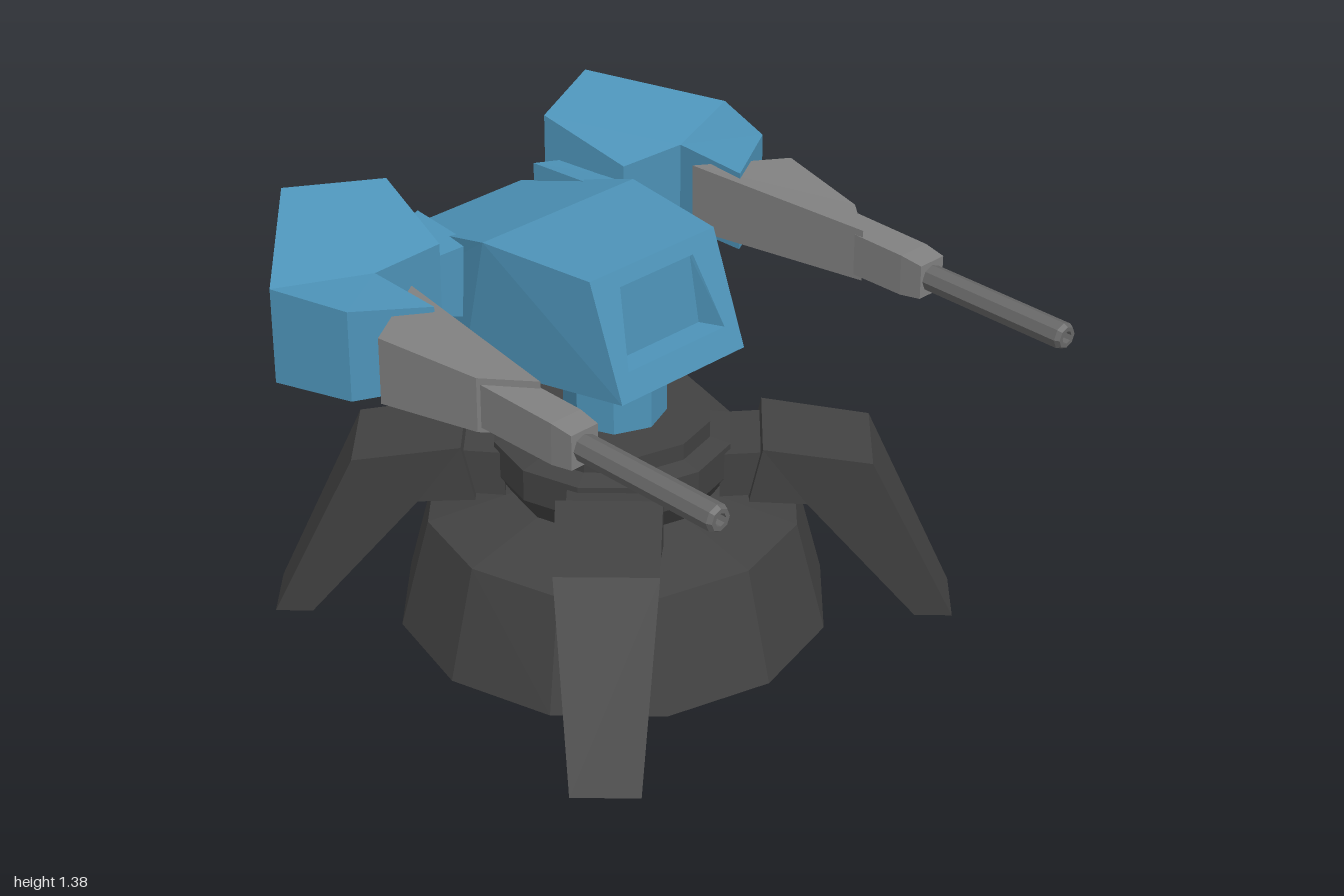
import * as THREE from 'three';

const mat = (name, color) => {
  const m = new THREE.MeshStandardMaterial({ color });
  m.name = name;
  return m;
};

// Flat-faced geometry from a list of triangles (each three [x, y, z] corners)
function fromTriangles(tris) {
  const g = new THREE.BufferGeometry();
  g.setAttribute('position', new THREE.Float32BufferAttribute(tris.flat(2), 3));
  g.computeVertexNormals();
  return g;
}

const quad = (a, b, c, d) => [[a, b, c], [a, c, d]];

// Solid between two matching rings; caps fan out from point 0, skipped sides stay open
function bridge(ringA, ringB, skip = -1) {
  const n = ringA.length;
  let tris = [];
  for (let i = 0; i < n; i++) {
    const j = (i + 1) % n;
    if (i !== skip) tris.push(...quad(ringA[i], ringA[j], ringB[j], ringB[i]));
    if (i > 0 && i < n - 1) {
      tris.push([ringA[0], ringA[j], ringA[i]], [ringB[0], ringB[i], ringB[j]]);
    }
  }
  // Turn every face outward by the sign of the enclosed volume
  const mid = new THREE.Vector3();
  [...ringA, ...ringB].forEach((p) => mid.add(new THREE.Vector3(...p)));
  mid.divideScalar(2 * n);
  let volume = 0;
  for (const t of tris) {
    const [a, b, c] = t.map((p) => new THREE.Vector3(...p).sub(mid));
    volume += a.dot(b.cross(c));
  }
  if (volume < 0) tris = tris.map(([a, b, c]) => [a, c, b]);
  return tris;
}

// Side profile of [z, y, halfWidth] points, widened symmetrically in x
const profileSolid = (pts, skip) => bridge(
  pts.map(([z, y, w]) => [w, y, z]), pts.map(([z, y, w]) => [-w, y, z]), skip);

// Plan of [x, z, bottom, top] corners
const planSolid = (pts, side) => bridge(
  pts.map(([x, z, b]) => [side * x, b, z]), pts.map(([x, z, , t]) => [side * x, t, z]));

function facetedLathe(pts, sides) {
  const g = new THREE.LatheGeometry(pts.map(([r, y]) => new THREE.Vector2(r, y)), sides).toNonIndexed();
  g.computeVertexNormals();
  return g;
}

export function createModel() {
  const model = new THREE.Group();
  model.name = 'turret';
  const blue = mat('blue armour', 0x4d93b8);
  const dark = mat('dark base metal', 0x424242);
  const grey = mat('gun grey', 0x808080);
  const steel = mat('barrel grey', 0x686868);

  const add = (parent, name, geometry, material) => {
    const mesh = new THREE.Mesh(geometry, material);
    mesh.name = name;
    parent.add(mesh);
    return mesh;
  };

  // Base and legs share one axis behind the origin
  const stand = new THREE.Group();
  stand.name = 'stand';
  stand.position.z = -0.17;
  model.add(stand);

  add(stand, 'base', facetedLathe([
    [0, 0], [0.685, 0], [0.59, 0.365], [0.32, 0.43], [0.375, 0.515],
    [0.375, 0.62], [0.31, 0.635], [0.31, 0.69], [0, 0.69],
  ], 12), dark);

  // Bent legs on the diagonals, each with a narrower root
  const legProfile = [
    [0.6, 0.43, 0.14], [0.42, 0.45, 0.16], [0.46, 0.635, 0.16],
    [0.797, 0.585, 0.155], [1.068, 0, 0.105], [0.95, 0, 0.105],
  ];
  const rootProfile = [[0.33, 0.45, 0.13], [0.33, 0.6, 0.13], [0.48, 0.61, 0.13], [0.48, 0.46, 0.13]];
  for (let i = 0; i < 4; i++) {
    const leg = new THREE.Group();
    leg.name = 'leg';
    leg.rotation.y = Math.PI / 4 + i * Math.PI / 2;
    add(leg, 'legLimb', fromTriangles(profileSolid(legProfile)), dark);
    add(leg, 'legRoot', fromTriangles(profileSolid(rootProfile)), dark);
    stand.add(leg);
  }

  const neck = add(model, 'neck', facetedLathe([[0.16, 0.69], [0.16, 0.95]], 8), blue);
  neck.position.z = -0.16;

  // Head: wedge body with an open front filled by a frame and recessed window
  const headShell = profileSolid([
    [-0.4, 1.283, 0.31], [-0.84, 1.15, 0.24], [-0.84, 0.96, 0.24],
    [-0.5, 0.835, 0.31], [0.14, 0.925, 0.255], [0.005, 1.283, 0.255],
  ], 4);
  const row = (w, y, z) => [[-w, y, z], [w, y, z]];
  const loop = (bottom, top) => [bottom[0], bottom[1], top[1], top[0]];
  const outer = loop(row(0.255, 0.925, 0.14), row(0.255, 1.283, 0.005));
  const rim = loop(row(0.2, 1.005, 0.11), row(0.15, 1.235, 0.023));
  const inner = loop(row(0.165, 1.005, 0.035), row(0.145, 1.23, 0.015));
  const face = quad(...inner);
  for (let i = 0; i < 4; i++) {
    const j = (i + 1) % 4;
    face.push(...quad(outer[i], outer[j], rim[j], rim[i]), ...quad(rim[i], rim[j], inner[j], inner[i]));
  }
  add(model, 'head', fromTriangles(headShell), blue);
  add(model, 'headFront', fromTriangles(face), blue);

  // Arms, each with a shoulder, armoured pod and gun
  for (const side of [1, -1]) {
    const arm = new THREE.Group();
    arm.name = side > 0 ? 'leftArm' : 'rightArm';
    model.add(arm);

    add(arm, 'shoulder', fromTriangles(planSolid([
      [0.24, -0.78, 1.0, 1.23], [0.42, -0.75, 1.05, 1.2],
      [0.42, -0.55, 1.02, 1.2], [0.27, -0.5, 0.98, 1.23],
    ], side)), blue);

    add(arm, 'pod', fromTriangles(planSolid([
      [0.63, -0.515, 0.975, 1.255], [0.63, -0.25, 0.98, 1.245], [0.855, -0.37, 0.97, 1.265],
      [0.937, -0.62, 0.965, 1.275], [0.625, -0.95, 1.08, 1.378],
      [0.325, -0.82, 1.07, 1.355], [0.38, -0.515, 1.0, 1.262],
    ], side)), blue);

    add(arm, 'gunBody', fromTriangles(planSolid([
      [0.58, -0.41, 1.01, 1.235], [0.85, -0.24, 1.015, 1.23],
      [0.78, 0.1, 1.035, 1.21], [0.665, 0.24, 1.04, 1.21],
    ], side)), grey);

    const gun = new THREE.Group();
    gun.name = 'gun';
    gun.position.set(side * 0.717, 1.12, 0);
    arm.add(gun);

    // Tapered collar between the gun body and barrel
    const section = (w, h, z) => [[-w, -h, z], [w, -h, z], [w, h, z], [-w, h, z]];
    add(gun, 'gunCollarRear', fromTriangles(
      bridge(section(0.056, 0.07, 0.05), section(0.056, 0.066, 0.4))), grey);
    add(gun, 'gunCollarFront', fromTriangles(
      bridge(section(0.056, 0.066, 0.4), section(0.05, 0.055, 0.475))), grey);

    const barrel = add(gun, 'barrel', facetedLathe([
      [0.042, 0], [0.042, 0.535], [0.034, 0.55], [0.02, 0.55], [0.02, 0.45], [0, 0.45],
    ], 8), steel);
    barrel.rotation.x = Math.PI / 2;
    barrel.position.z = 0.45;
  }
  return model;
}
